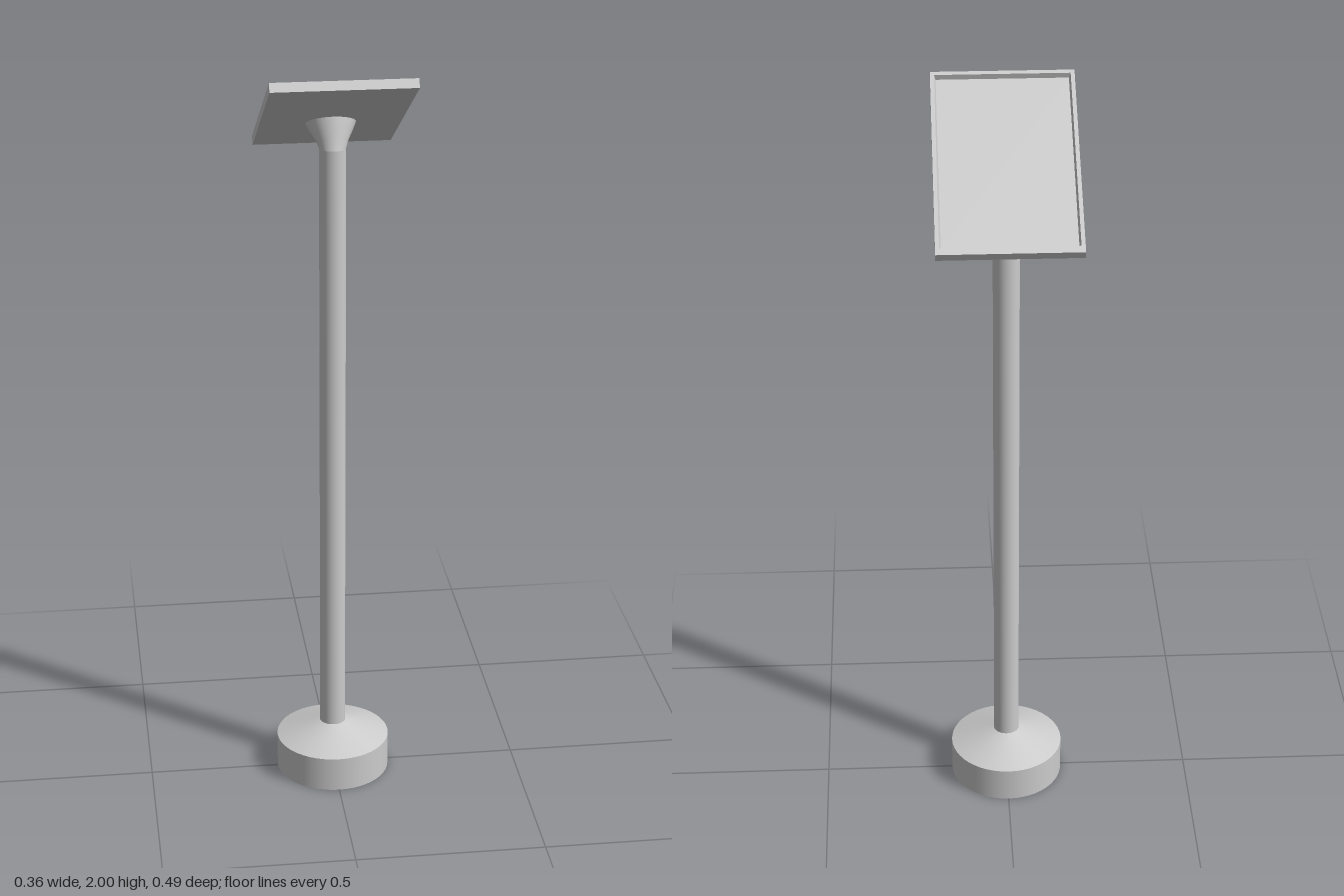
import * as THREE from 'three';

const TILT = THREE.MathUtils.degToRad(29.5);
const material = new THREE.MeshStandardMaterial({ color: 0xcccccc });

function addMesh(parent, name, geometry, y = 0) {
  const mesh = new THREE.Mesh(geometry, material);
  mesh.name = name;
  mesh.position.y = y;
  parent.add(mesh);
  return mesh;
}

// Skins closed rings of equal length (anticlockwise seen from +y, bottom to top).
function loft(rings, { caps = false, flat = false } = {}) {
  const n = rings[0].length;
  const last = (rings.length - 1) * n;
  const index = [];
  for (let r = 0; r < rings.length - 1; r++) {
    for (let i = 0; i < n; i++) {
      const a = r * n + i, b = r * n + (i + 1) % n;
      index.push(a, b, b + n, a, b + n, a + n);
    }
  }
  if (caps) {
    for (let i = 1; i < n - 1; i++) {
      index.push(0, i + 1, i, last, last + i, last + i + 1);
    }
  }
  let geometry = new THREE.BufferGeometry().setFromPoints(rings.flat());
  geometry.setIndex(index);
  if (flat) geometry = geometry.toNonIndexed();
  geometry.computeVertexNormals();
  return geometry;
}

function circle(radius, y, z, tilt, sides = 48) {
  return Array.from({ length: sides }, (_, i) => {
    const a = (i / sides) * Math.PI * 2;
    return new THREE.Vector3(Math.sin(a) * radius, 0, Math.cos(a) * radius)
      .applyAxisAngle(new THREE.Vector3(1, 0, 0), -tilt)
      .add(new THREE.Vector3(0, y, z));
  });
}

function rectangle(halfWidth, back, front, y) {
  return [[-1, front], [1, front], [1, back], [-1, back]]
    .map(([s, z]) => new THREE.Vector3(s * halfWidth, y, z));
}

export function createModel() {
  const model = new THREE.Group();
  model.name = 'signStand';

  // Weighted round foot with a sloping shoulder
  addMesh(model, 'base', new THREE.CylinderGeometry(0.152, 0.152, 0.095, 48), 0.0475);
  addMesh(model, 'baseShoulder', new THREE.CylinderGeometry(0.035, 0.152, 0.042, 48, 1, true), 0.116);

  // Upright post
  addMesh(model, 'post', new THREE.CylinderGeometry(0.034, 0.034, 1.635, 48), 0.9475);

  // Flared neck leaning over to meet the underside of the panel
  addMesh(model, 'neck', loft([
    circle(0.034, 1.765, 0, 0),
    circle(0.042, 1.782, -0.014, TILT * 0.45),
    circle(0.054, 1.8, -0.028, TILT * 0.85),
    circle(0.064, 1.818, -0.042, TILT),
  ]));

  // Tilted display panel: outer walls, rim, sloping inner walls and sunken face
  const panel = addMesh(model, 'panel', loft([
    rectangle(0.18, -0.273, 0.273, -0.012),
    rectangle(0.18, -0.273, 0.273, 0.012),
    rectangle(0.17, -0.254, 0.263, 0.012),
    rectangle(0.166, -0.249, 0.259, -0.002),
  ], { caps: true, flat: true }), 1.855);
  panel.rotation.x = -TILT;

  return model;
}
